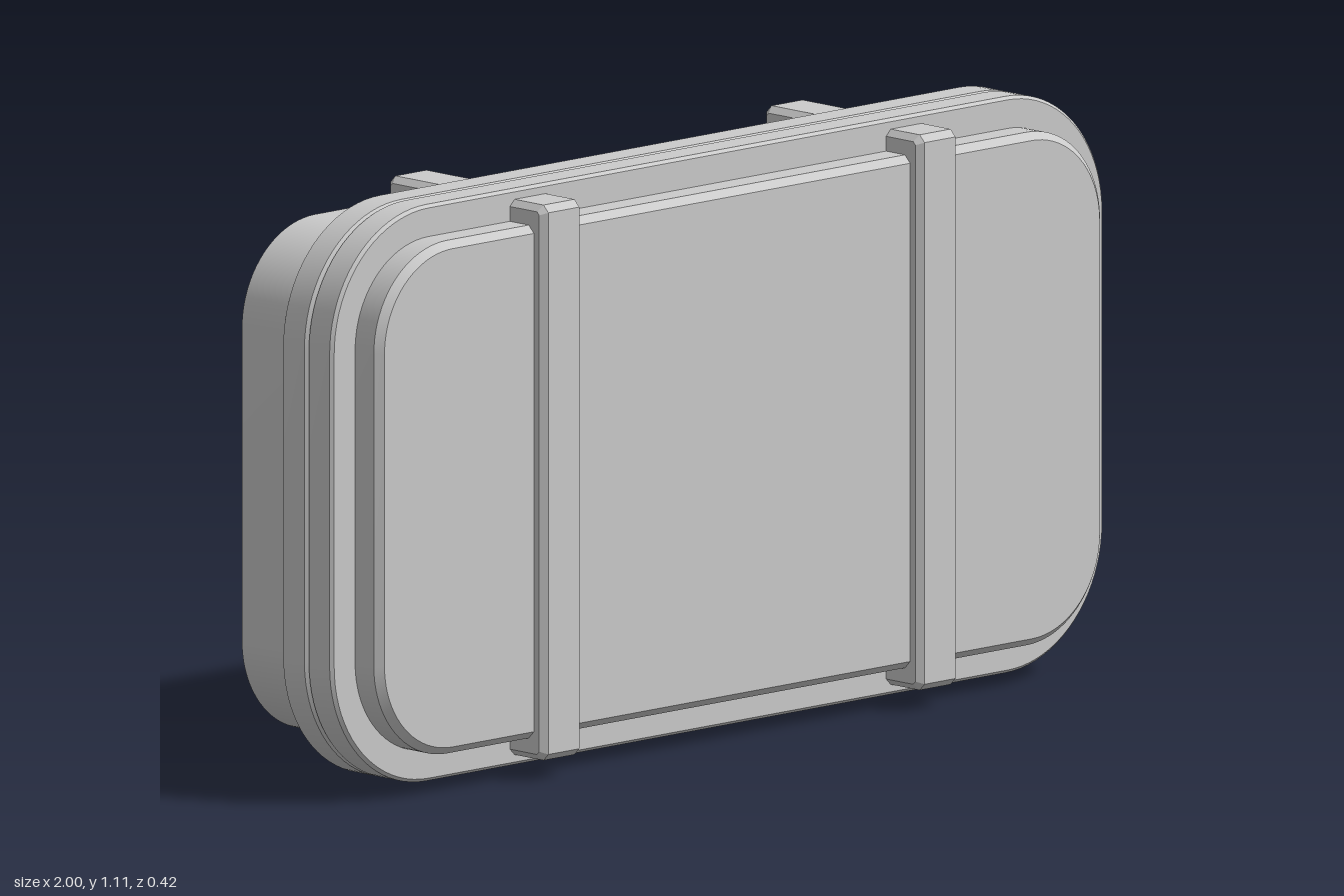
import * as THREE from 'three';
import { toCreasedNormals } from 'three/addons/utils/BufferGeometryUtils.js';

const material = new THREE.MeshStandardMaterial({ color: 0xcccccc });
const CY = 0.565; // height of the case centre

// Rectangle outline with round corners (or cut corners when cut is true)
function outline(w, h, r, cut = false, Type = THREE.Shape) {
  const x = w / 2, y = h / 2, s = new Type();
  const corner = (cx, cy, px, py) => (cut ? s.lineTo(px, py) : s.quarter(cx, cy));
  s.quarter = (cx, cy) => {
    const start = cx > 0 ? (cy > 0 ? 0 : -Math.PI / 2) : (cy > 0 ? Math.PI / 2 : Math.PI);
    s.absarc(cx, cy, r, start, start + Math.PI / 2, false);
  };
  s.moveTo(-x + r, -y);
  s.lineTo(x - r, -y);
  corner(x - r, -y + r, x, -y + r);
  s.lineTo(x, y - r);
  corner(x - r, y - r, x - r, y);
  s.lineTo(-x + r, y);
  corner(-x + r, y - r, -x, y - r);
  s.lineTo(-x, -y + r);
  corner(-x + r, -y + r, -x + r, -y);
  return s;
}

// Chamfered slab of total depth d, centred on its own origin
function slab(shape, d, size, thickness = size) {
  const geo = new THREE.ExtrudeGeometry(shape, {
    depth: d - 2 * thickness, bevelEnabled: true, bevelSegments: 1,
    bevelSize: size, bevelThickness: thickness, bevelOffset: -size, curveSegments: 10,
  });
  geo.translate(0, 0, -(d - 2 * thickness) / 2);
  return toCreasedNormals(geo, 0.5);
}

function add(parent, name, geo, x, y, z) {
  const mesh = new THREE.Mesh(geo, material);
  mesh.name = name;
  mesh.position.set(x, y, z);
  parent.add(mesh);
  return mesh;
}

export function createModel() {
  const model = new THREE.Group();
  model.name = 'hardCase';

  // Shallow lid in front, deeper tray behind
  add(model, 'frontShell', slab(outline(1.88, 0.97, 0.19), 0.143, 0.014), 0, CY, 0.1125);
  add(model, 'backShell', slab(outline(1.88, 0.97, 0.19), 0.237, 0.006), 0, CY, -0.0685);

  // Two rims meeting at the seam
  add(model, 'backRim', slab(outline(2, 1.09, 0.25), 0.068, 0.006), 0, CY, 0.019);
  add(model, 'frontRim', slab(outline(2, 1.09, 0.25), 0.067, 0.006), 0, CY, 0.0865);

  // Straps around the case, chamfered on every edge
  for (const side of [-1, 1]) {
    const strap = add(model, side > 0 ? 'leftStrap' : 'rightStrap',
      slab(outline(0.42, 1.05, 0.013, true), 0.104, 0.012), side * 0.487, CY, 0);
    strap.rotation.y = Math.PI / 2;
  }

  // Fitting under the tray: sloped bezel, inner ring and round catch
  const fitting = new THREE.Group();
  fitting.name = 'bottomFitting';
  fitting.position.set(0, 0, -0.083);
  model.add(fitting);

  const bezelShape = outline(0.28, 0.125, 0.035, true);
  bezelShape.holes.push(outline(0.17, 0.052, 0.012, true, THREE.Path));
  const bezel = add(fitting, 'bezel', slab(bezelShape, 0.09, 0.02, 0.035), 0, 0.079, 0);
  bezel.rotation.x = Math.PI / 2;

  const ringShape = outline(0.13, 0.058, 0.012, true);
  ringShape.holes.push(outline(0.09, 0.03, 0.006, true, THREE.Path));
  const ring = add(fitting, 'innerRing', slab(ringShape, 0.05, 0.004), 0, 0.066, 0);
  ring.rotation.x = Math.PI / 2;

  const catchGeo = toCreasedNormals(new THREE.CylinderGeometry(0.027, 0.027, 0.036, 24), 0.5);
  const pin = add(fitting, 'roundCatch', catchGeo, 0, 0.027, 0);
  pin.rotation.z = Math.PI / 2;
  add(fitting, 'catchStem', new THREE.BoxGeometry(0.036, 0.06, 0.03), 0, 0.06, 0);

  return model;
}
